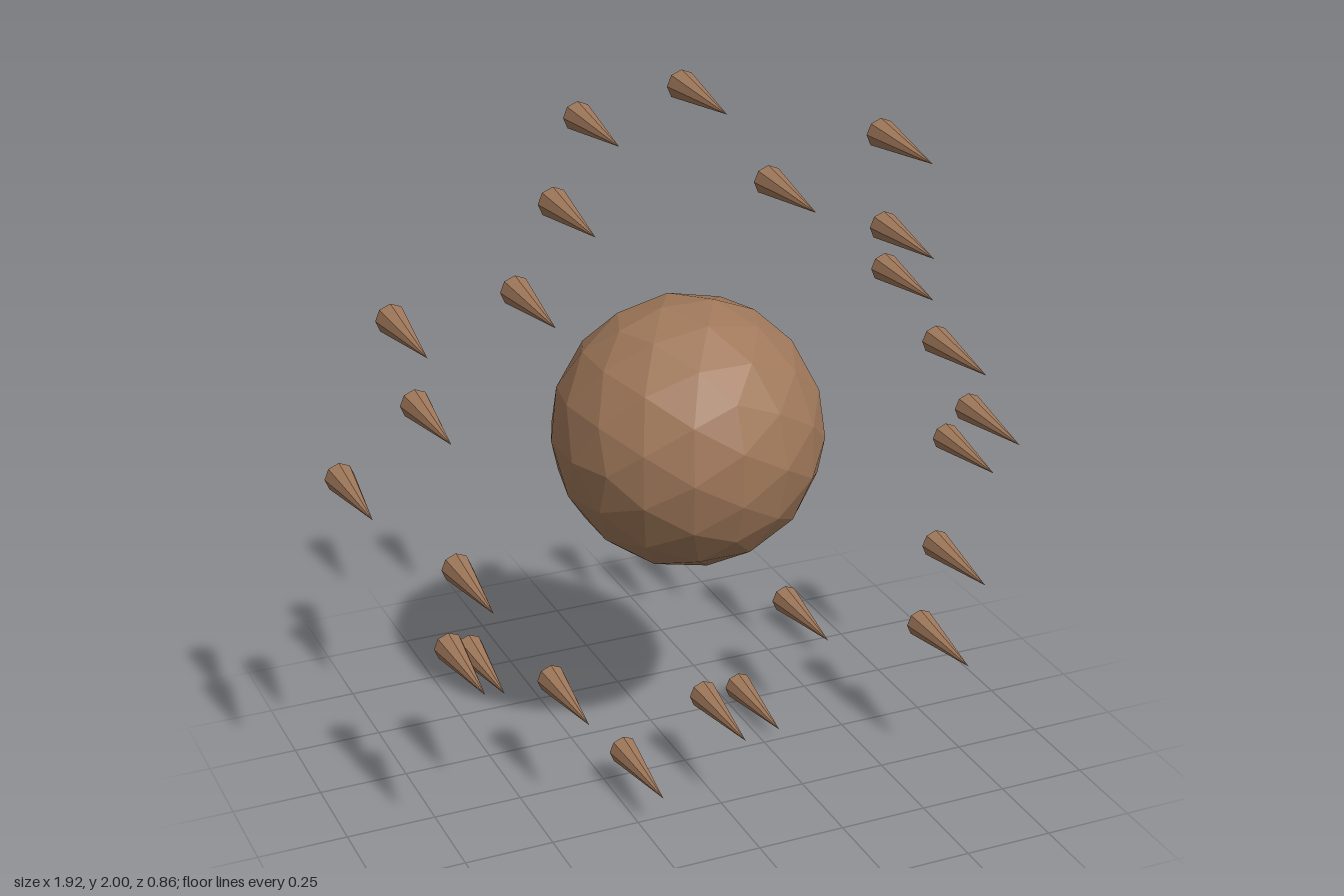
import * as THREE from 'three';

// Spike centres: x, y, z
const SPIKES = [
  [0.035, 1.96, 0.04], [-0.2, 1.865, -0.1], [0.51, 1.83, 0.25], [-0.405, 1.765, 0.245],
  [0.225, 1.715, 0.17], [0.57, 1.54, 0.17], [-0.488, 1.52, 0.18], [-0.82, 1.495, 0.18],
  [0.655, 1.36, 0.025], [-0.735, 1.21, 0.08], [0.735, 1.19, 0.185], [0.81, 1.0, 0.25],
  [-0.923, 1.0, -0.005], [-0.695, 0.805, 0.245], [0.92, 0.765, -0.06], [0.705, 0.615, 0.285],
  [-0.718, 0.567, 0.225], [-0.57, 0.397, -0.045], [0.677, 0.36, 0.265], [-0.368, 0.307, 0.055],
  [0.435, 0.307, -0.115], [0.035, 0.235, 0.19], [-0.205, 0.107, 0.18], [0.29, 0.043, -0.125],
];

export function createModel() {
  const group = new THREE.Group();
  const brown = new THREE.MeshStandardMaterial({ color: 0xa0785a, flatShading: true });

  // Faceted central ball
  const ball = new THREE.Mesh(new THREE.IcosahedronGeometry(0.376, 2), brown);
  ball.name = 'ball';
  ball.position.set(0.035, 1.0, -0.062);
  group.add(ball);

  // Ring of loose spikes, all pointing forward
  const spikes = new THREE.Group();
  spikes.name = 'spikes';
  const cone = new THREE.ConeGeometry(0.041, 0.283, 8).rotateX(Math.PI / 2);
  SPIKES.forEach(([x, y, z], i) => {
    const spike = new THREE.Mesh(cone, brown);
    spike.name = `spike${i + 1}`;
    spike.position.set(x, y, z);
    spikes.add(spike);
  });
  group.add(spikes);
  return group;
}
